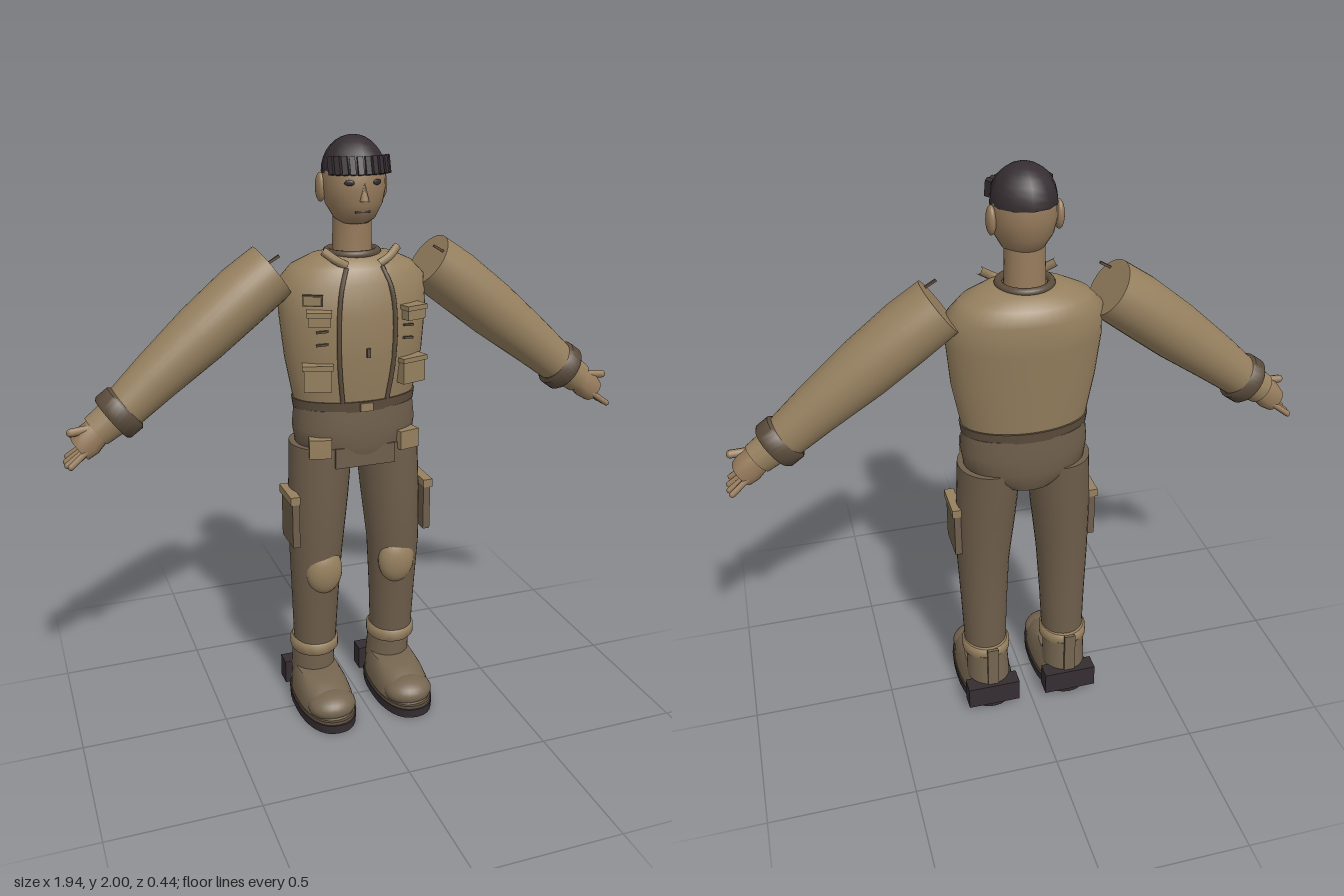
import * as THREE from 'three';
import { toCreasedNormals } from 'three/addons/utils/BufferGeometryUtils.js';

const paint = (name, color) => {
  const m = new THREE.MeshStandardMaterial({ color });
  m.name = name;
  return m;
};
const khaki = paint('khaki cloth', 0x96805f);
const skin = paint('tan skin', 0x957a5b);
const brown = paint('brown cloth', 0x6e5e4b);
const boot = paint('boot leather', 0x756550);
const cuffCloth = paint('dark trim', 0x5c4d3d);
const black = paint('black rubber', 0x352d31);

function add(parent, name, geo, mat, x = 0, y = 0, z = 0, rx = 0, ry = 0, rz = 0) {
  const m = new THREE.Mesh(geo, mat);
  m.name = name;
  m.position.set(x, y, z);
  m.rotation.set(rx, ry, rz);
  parent.add(m);
  return m;
}
const box = (w, h, d) => new THREE.BoxGeometry(w, h, d);

// Capped loft; each section is [y, halfWidth, halfDepth, centreX, centreZ], y rising
function loft(sections, power = 1, n = 32) {
  const pos = [], idx = [];
  const bend = v => Math.sign(v) * Math.abs(v) ** power;
  for (const [y, rx, rz, cx = 0, cz = 0] of sections)
    for (let i = 0; i < n; i++) {
      const a = i / n * Math.PI * 2;
      pos.push(cx + rx * bend(Math.sin(a)), y, cz + rz * bend(Math.cos(a)));
    }
  const top = sections.length - 1;
  for (let s = 0; s < top; s++)
    for (let i = 0; i < n; i++) {
      const a = s * n + i, b = s * n + (i + 1) % n;
      idx.push(a, b, b + n, a, b + n, a + n);
    }
  for (const s of [0, top]) {
    const [y, , , cx = 0, cz = 0] = sections[s];
    const c = pos.length / 3;
    pos.push(cx, y, cz);
    for (let i = 0; i < n; i++) {
      const a = s * n + i, b = s * n + (i + 1) % n;
      if (s) idx.push(a, b, c); else idx.push(b, a, c);
    }
  }
  const g = new THREE.BufferGeometry();
  g.setAttribute('position', new THREE.Float32BufferAttribute(pos, 3));
  g.setIndex(idx);
  return toCreasedNormals(g, 0.75);
}

function ball(rx, ry, rz) {
  return new THREE.SphereGeometry(1, 24, 16).scale(rx, ry, rz);
}
function tube(points, r) {
  const curve = new THREE.CatmullRomCurve3(points.map(p => new THREE.Vector3(...p)));
  return new THREE.TubeGeometry(curve, 20, r, 8);
}

const torso = [
  [1.13, 0.205, 0.12, 0, -0.05], [1.18, 0.215, 0.127, 0, -0.05], [1.3, 0.238, 0.142, 0, -0.047],
  [1.45, 0.252, 0.155, 0, -0.055], [1.55, 0.248, 0.152, 0, -0.066], [1.595, 0.205, 0.135, 0, -0.068],
  [1.625, 0.14, 0.1, 0, -0.065], [1.632, 0.1, 0.08, 0, -0.06],
];
// Depth of the chest surface at a given point
function chestZ(x, y) {
  const i = Math.max(1, torso.findIndex(s => s[0] >= y));
  const [a, b] = [torso[i - 1], torso[i]];
  const t = (y - a[0]) / (b[0] - a[0]);
  const [, rx, rz, , cz] = a.map((v, k) => v + (b[k] - v) * t);
  return cz + rz * Math.sqrt(Math.max(0, 1 - (x / rx) ** 2));
}

function makeHead() {
  const g = new THREE.Group();
  g.name = 'head';
  add(g, 'neck', loft([[1.58, 0.068, 0.062, 0, -0.06], [1.7, 0.064, 0.058, 0, -0.06], [1.78, 0.064, 0.058, 0, -0.055]]), skin);
  add(g, 'face', loft([[1.73, 0.045, 0.05, 0, -0.035], [1.745, 0.066, 0.075, 0, -0.038], [1.79, 0.092, 0.096, 0, -0.043],
    [1.84, 0.103, 0.104, 0, -0.045], [1.89, 0.101, 0.103, 0, -0.047], [1.93, 0.088, 0.09, 0, -0.05]]), skin);
  add(g, 'nose', new THREE.ConeGeometry(0.016, 0.06, 6), skin, 0, 1.835, 0.057);
  add(g, 'mouth', box(0.05, 0.008, 0.008), black, 0, 1.772, 0.042);
  for (const s of [-1, 1]) {
    add(g, 'ear', ball(0.016, 0.046, 0.027), skin, s * 0.104, 1.84, -0.065);
    add(g, 'eye', ball(0.016, 0.009, 0.004), black, s * 0.046, 1.862, 0.048, 0, s * 0.4);
  }
  // Panelled cap with a ribbed band tilted over the brow
  const dome = new THREE.SphereGeometry(1, 12, 8, 0, Math.PI * 2, 0, Math.PI / 2).scale(0.104, 0.115, 0.108);
  const cap = add(g, 'cap', dome, black, 0, 1.885, -0.048);
  cap.material = black;
  for (let i = 0; i < 10; i++) {
    const a = (i - 4.5) * 0.21;
    add(g, 'capRib', box(0.018, 0.056, 0.02), black, 0.1 * Math.sin(a) * 1.12, 1.912, -0.045 + 0.098 * Math.cos(a), -0.3, a);
  }
  return g;
}

function makeArm() {
  const g = new THREE.Group();
  g.name = 'arm';
  add(g, 'sleeve', loft([[-0.66, 0.07, 0.07, -0.03, -0.037], [-0.5, 0.083, 0.082, -0.018, -0.045],
    [-0.3, 0.097, 0.1, -0.008, -0.055], [-0.12, 0.1, 0.108, 0, -0.062], [0, 0.096, 0.106, 0, -0.065]]), khaki);
  add(g, 'cuff', loft([[-0.69, 0.077, 0.07, -0.03, -0.037], [-0.68, 0.085, 0.077, -0.03, -0.037],
    [-0.635, 0.085, 0.077, -0.03, -0.037], [-0.625, 0.074, 0.07, -0.03, -0.037]]), cuffCloth);
  add(g, 'wrist', loft([[-0.75, 0.055, 0.048, -0.028, -0.035], [-0.66, 0.062, 0.056, -0.03, -0.036]]), khaki);
  add(g, 'palm', loft([[-0.825, 0.042, 0.046, -0.036, -0.03], [-0.79, 0.05, 0.05, -0.032, -0.03],
    [-0.73, 0.042, 0.04, -0.028, -0.033]], 0.8, 20), skin);
  for (let i = 0; i < 4; i++) {
    const a = (i - 1.5) * 0.16;
    add(g, 'finger', new THREE.CapsuleGeometry(0.0105, 0.09, 4, 8), skin,
      -0.047, -0.845 + Math.abs(i - 1.5) * 0.008, -0.03 + (i - 1.5) * 0.028, -a);
  }
  add(g, 'thumb', new THREE.CapsuleGeometry(0.014, 0.055, 4, 8), skin, 0.015, -0.785, -0.01, -0.1, 0, 0.55);
  add(g, 'shoulderTab', box(0.008, 0.05, 0.008), cuffCloth, 0.045, 0.015, 0.0, 0, 0, 0.1);
  g.position.set(0.27, 1.585, 0);
  g.rotation.z = 0.944;
  return g;
}

function makeLeg() {
  const g = new THREE.Group();
  g.name = 'leg';
  add(g, 'trouserLeg', loft([[0.2, 0.074, 0.078, 0.147, -0.06], [0.4, 0.082, 0.083, 0.146, -0.05],
    [0.6, 0.092, 0.097, 0.144, -0.04], [0.8, 0.103, 0.11, 0.132, -0.044], [1.0, 0.108, 0.118, 0.118, -0.05]]), brown);
  add(g, 'kneePad', ball(0.066, 0.088, 0.045), khaki, 0.135, 0.54, 0.022);
  add(g, 'cargoPocket', box(0.025, 0.165, 0.13), brown, 0.238, 0.735, -0.018);
  add(g, 'pocketFlap', box(0.034, 0.028, 0.138), khaki, 0.24, 0.825, -0.018);
  add(g, 'trouserHem', loft([[0.2, 0.08, 0.084, 0.147, -0.065], [0.21, 0.086, 0.092, 0.147, -0.065],
    [0.24, 0.086, 0.092, 0.147, -0.065], [0.25, 0.078, 0.084, 0.147, -0.065]]), khaki);
  // Boot
  add(g, 'bootShaft', loft([[0.1, 0.078, 0.084, 0.145, -0.09], [0.22, 0.074, 0.082, 0.147, -0.078]]), boot);
  add(g, 'bootFoot', loft([[0.03, 0.097, 0.188, 0.145, 0.015], [0.075, 0.094, 0.182, 0.145, 0.01],
    [0.105, 0.085, 0.158, 0.145, -0.005], [0.13, 0.073, 0.115, 0.145, -0.045]], 0.85), boot);
  add(g, 'toeCap', ball(0.086, 0.05, 0.078), khaki, 0.145, 0.066, 0.125).material = boot;
  add(g, 'bootWelt', loft([[0.03, 0.1, 0.196, 0.145, 0.018], [0.042, 0.098, 0.194, 0.145, 0.018]], 0.85), cuffCloth);
  add(g, 'sole', loft([[0, 0.1, 0.2, 0.145, 0.018], [0.032, 0.102, 0.202, 0.145, 0.018]], 0.85), black);
  add(g, 'heelBlock', box(0.19, 0.085, 0.06), black, 0.145, 0.062, -0.158);
  add(g, 'heelStrap', box(0.04, 0.16, 0.012), boot, 0.145, 0.185, -0.17);
  return g;
}

// Chest pockets, rolls and tabs for one side
function makeVestSide() {
  const g = new THREE.Group();
  g.name = 'vestSide';
  for (const [x, y, w, h] of [[0.158, 1.447, 0.07, 0.04], [0.16, 1.25, 0.09, 0.08]]) {
    const z = chestZ(x, y) + 0.012;
    add(g, 'chestPocket', box(w, h, 0.05), khaki, x, y, z, 0, 0.3);
    add(g, 'chestFlap', box(w + 0.01, 0.016, 0.06), khaki, x, y + h / 2, z, 0, 0.3);
  }
  for (const y of [1.405, 1.362])
    add(g, 'webbingLoop', box(0.04, 0.007, 0.012), cuffCloth, 0.147, y, chestZ(0.147, y) + 0.003, 0, 0.35, -0.12);
  const edge = [[0.06, 1.6], [0.085, 1.53], [0.096, 1.42], [0.092, 1.28], [0.078, 1.16]];
  add(g, 'vestEdge', tube(edge.map(([x, y]) => [x, y, chestZ(x, y) + 0.002]), 0.008), cuffCloth);
  add(g, 'collarRoll', tube([[0.055, 1.605, 0.045], [0.09, 1.625, 0.04], [0.125, 1.652, 0.02]], 0.014), khaki);
  add(g, 'hipPouch', box(0.075, 0.065, 0.05), khaki, 0.152, 1.008, 0.052, 0, 0.25);
  return g;
}

export function createModel() {
  const model = new THREE.Group();
  model.name = 'standingMan';
  model.add(makeHead());

  // Jacket, collar and belt
  add(model, 'jacket', loft(torso, 1, 48), khaki);
  const collar = new THREE.TorusGeometry(0.082, 0.013, 10, 36).rotateX(Math.PI / 2);
  add(model, 'collar', collar, cuffCloth, 0, 1.633, -0.06);
  add(model, 'placket', box(0.012, 0.03, 0.012), cuffCloth, 0, 1.33, chestZ(0, 1.33) + 0.003);
  add(model, 'badge', box(0.065, 0.036, 0.01), cuffCloth, -0.172, 1.505, chestZ(0.172, 1.505) + 0.006, 0, -0.45);
  add(model, 'badgeFace', box(0.055, 0.026, 0.01), khaki, -0.173, 1.505, chestZ(0.173, 1.505) + 0.009, 0, -0.45);
  add(model, 'belt', loft([[1.125, 0.211, 0.128, 0, -0.05], [1.16, 0.216, 0.131, 0, -0.05]], 1, 48), cuffCloth);
  add(model, 'buckle', box(0.045, 0.028, 0.01), khaki, 0, 1.142, 0.083);

  // Hips
  add(model, 'hips', loft([[0.93, 0.105, 0.11, 0, -0.05], [0.965, 0.17, 0.124, 0, -0.05], [1.0, 0.205, 0.13, 0, -0.05],
    [1.06, 0.214, 0.131, 0, -0.05], [1.13, 0.207, 0.126, 0, -0.05]], 0.9, 40), brown);
  add(model, 'frontPanel', box(0.21, 0.07, 0.02), brown, 0, 0.967, 0.065);

  // Mirrored limbs and gear
  for (const side of [1, -1]) {
    const half = new THREE.Group();
    half.name = side > 0 ? 'leftSide' : 'rightSide';
    half.scale.x = side;
    half.add(makeArm(), makeLeg(), makeVestSide());
    model.add(half);
  }
  return model;
}
